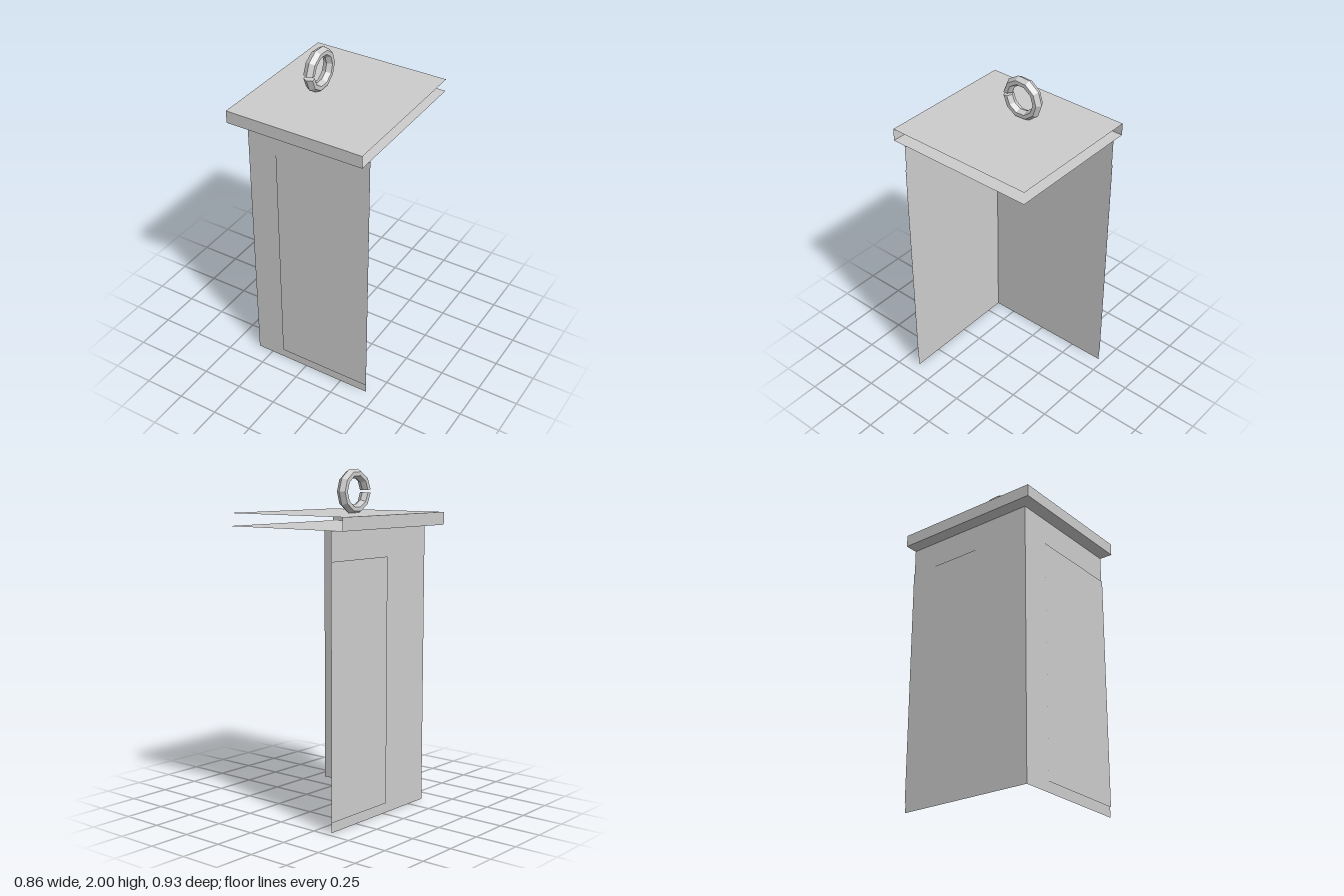
import * as THREE from 'three';

export function createModel() {
  const model = new THREE.Group();
  model.name = 'hangingLantern';
  const grey = new THREE.MeshStandardMaterial({ color: 0xcccccc, side: THREE.DoubleSide, flatShading: true });
  grey.name = 'light grey';

  const X = 0.43, Z = 0.467;            // outer limits; the shell is open at +x and -z
  const bodyX = -0.35, bodyZ = 0.385;   // planes of the two walls
  const lidLow = 1.675, lidHigh = 1.75;
  const raise = 0.006;                  // how far the panels stand off the walls

  const add = (name, geometry, parent = model) => {
    const mesh = new THREE.Mesh(geometry, grey);
    mesh.name = name;
    parent.add(mesh);
    return mesh;
  };
  // Upright sheet facing +z
  const frontSheet = (name, x0, x1, y0, y1, z) =>
    add(name, new THREE.PlaneGeometry(x1 - x0, y1 - y0).translate((x0 + x1) / 2, (y0 + y1) / 2, z));
  // Upright sheet facing -x
  const sideSheet = (name, z0, z1, y0, y1, x) =>
    add(name, new THREE.PlaneGeometry(z1 - z0, y1 - y0).rotateY(-Math.PI / 2)
      .translate(x, (y0 + y1) / 2, (z0 + z1) / 2));

  // Walls with their raised panels
  frontSheet('frontWall', bodyX, X, 0, lidLow, bodyZ);
  frontSheet('frontPanel', -0.165, X, 0.06, 1.51, bodyZ + raise);
  sideSheet('sideWall', -Z, bodyZ, 0, lidLow, bodyX);
  sideSheet('sidePanel', -Z, 0.02, 0.06, 1.51, bodyX - raise);

  // Lid: two sheets joined by a front and a side rim
  frontSheet('lidFrontRim', -X, X, lidLow, lidHigh, Z);
  sideSheet('lidSideRim', -Z, Z, lidLow, lidHigh, -X);
  add('lidTop', new THREE.PlaneGeometry(2 * X, 2 * Z).rotateX(-Math.PI / 2).translate(0, lidHigh, 0));
  add('lidUnderside', new THREE.PlaneGeometry(2 * X, 2 * Z).rotateX(Math.PI / 2).translate(0, lidLow, 0));

  // Split hanging ring: six-sided section swept in ten steps about the x axis
  const ring = new THREE.Group();
  ring.name = 'hangingRing';
  const section = [[0.133, 0], [0.116, 0.03], [0.092, 0.03], [0.077, 0], [0.092, -0.03], [0.116, -0.03]]
    .map(([r, h]) => new THREE.Vector2(r, h));
  const gap = 0.08;
  add('ringBand', new THREE.LatheGeometry([...section, section[0]], 10, gap, 2 * Math.PI - 2 * gap), ring);
  for (const phi of [gap, -gap]) {
    add('ringEnd', new THREE.ShapeGeometry(new THREE.Shape(section)).rotateY(phi - Math.PI / 2), ring);
  }
  ring.rotation.z = -Math.PI / 2;
  ring.position.set(-0.125, 1.874, 0);
  model.add(ring);

  return model;
}
